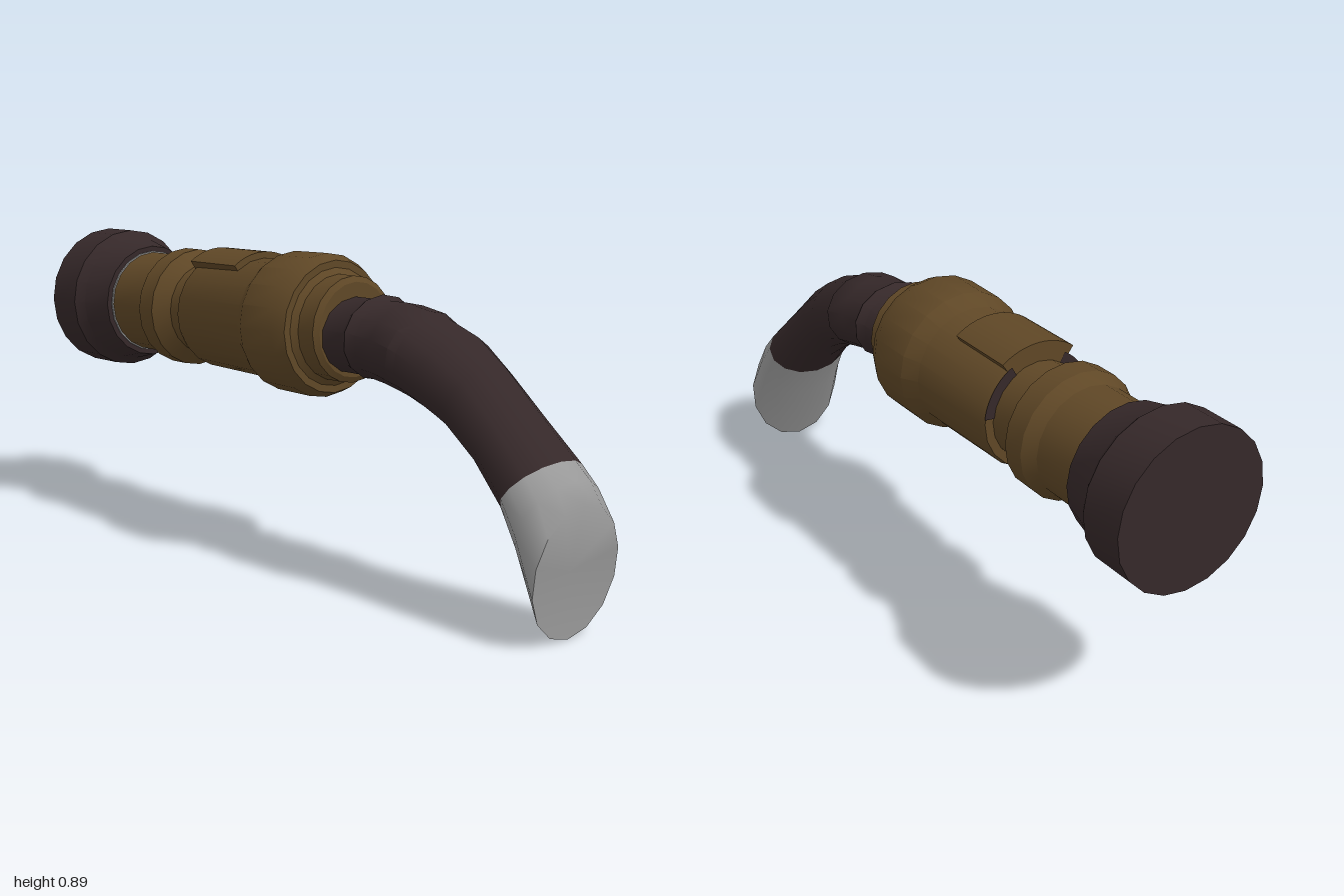
import * as THREE from 'three';
import { toCreasedNormals } from 'three/addons/utils/BufferGeometryUtils.js';

const AXIS_Y = 0.68;

const mat = (name, color) => {
  const m = new THREE.MeshStandardMaterial({ color });
  m.name = name;
  return m;
};

// Round part turned about the x axis; profile is [x, radius] pairs.
function turned(profile) {
  const g = new THREE.LatheGeometry(profile.map(([x, r]) => new THREE.Vector2(r, x)), 20);
  return toCreasedNormals(g.rotateZ(-Math.PI / 2), 0.55);
}

// Skin over elliptical sections [topX, topY, bottomX, bottomY, halfDepth].
function loft(sections, capDepth, crease) {
  const n = 14, pos = [], idx = [];
  for (const [tx, ty, bx, by, w] of sections) {
    for (let i = 0; i < n; i++) {
      const a = (i / n) * Math.PI * 2, c = Math.cos(a) / 2;
      pos.push((tx + bx) / 2 + (tx - bx) * c, (ty + by) / 2 + (ty - by) * c, Math.sin(a) * w);
    }
  }
  for (let s = 0; s < sections.length - 1; s++) {
    for (let i = 0; i < n; i++) {
      const a = s * n + i, b = s * n + (i + 1) % n;
      idx.push(a, b, a + n, b, b + n, a + n);
    }
  }
  if (capDepth !== null) {
    const last = sections.length - 1, [tx, ty, bx, by] = sections[last];
    pos.push((tx + bx) / 2 - capDepth, (ty + by) / 2, 0);
    for (let i = 0; i < n; i++) idx.push(sections.length * n, last * n + i, last * n + (i + 1) % n);
  }
  const g = new THREE.BufferGeometry();
  g.setAttribute('position', new THREE.Float32BufferAttribute(pos, 3));
  g.setIndex(idx);
  return toCreasedNormals(g, crease);
}

export function createModel() {
  const group = new THREE.Group();
  const dark = mat('darkBrown', 0x352829);
  const brown = mat('bronzeBrown', 0x5f4726);
  const silver = mat('silver', 0x999999);
  const add = (name, geometry, material, x = 0, y = 0) => {
    const m = new THREE.Mesh(geometry, material);
    m.name = name;
    m.position.set(x, y, 0);
    group.add(m);
    return m;
  };

  // Flared end cap
  add('endCap', turned([[-1, 0], [-1, 0.216], [-0.875, 0.216], [-0.85, 0.194],
    [-0.755, 0.172], [-0.755, 0.14]]), dark, 0, AXIS_Y);
  add('capRing', turned([[-0.757, 0.14], [-0.757, 0.157], [-0.749, 0.157], [-0.749, 0.14]]),
    silver, 0, AXIS_Y);

  // Stepped main grip
  add('grip', turned([[-0.757, 0.153], [-0.61, 0.153], [-0.575, 0.176], [-0.51, 0.176],
    [-0.47, 0.136], [-0.4, 0.136], [-0.4, 0.16], [-0.385, 0.166], [-0.1, 0.172],
    [-0.055, 0.198], [0.08, 0.2], [0.117, 0.183], [0.117, 0.163], [0.13, 0.146],
    [0.19, 0.146], [0.2, 0.13], [0.2, 0]]), brown, 0, AXIS_Y);

  // Dark arcs on the step of the grip
  for (const side of [0, Math.PI]) {
    const arc = new THREE.RingGeometry(0.13, 0.164, 12, 1, side === 0 ? 0.1 : 2.1, 0.95);
    add('stepArc', arc.rotateY(-Math.PI / 2), dark, -0.403, AXIS_Y);
  }

  // Raised plate on top of the grip
  const half = 0.62, up = Math.PI / 2;
  const sector = new THREE.Shape();
  sector.absarc(0, 0, 0.188, up - half, up + half, false);
  sector.absarc(0, 0, 0.15, up + half, up - half, true);
  sector.closePath();
  const plate = new THREE.ExtrudeGeometry(sector, { depth: 0.21, bevelEnabled: false, curveSegments: 8 });
  add('topPlate', toCreasedNormals(plate.rotateY(Math.PI / 2), 0.55), brown, -0.4, AXIS_Y);

  // Curved neck with a small collar
  const joint = [0.925, 0.437, 0.808, 0.3, 0.135];
  add('neck', loft([
    [0.18, 0.77, 0.18, 0.562, 0.123],
    [0.28, 0.77, 0.27, 0.562, 0.12],
    [0.305, 0.784, 0.295, 0.555, 0.135],
    [0.33, 0.77, 0.32, 0.557, 0.122],
    [0.4, 0.77, 0.375, 0.55, 0.128],
    [0.48, 0.755, 0.44, 0.537, 0.138],
    [0.5, 0.742, 0.46, 0.53, 0.128],
    [0.6, 0.704, 0.53, 0.508, 0.135],
    [0.7, 0.64, 0.61, 0.465, 0.116],
    [0.81, 0.542, 0.71, 0.395, 0.119],
    joint,
  ], null, 0.7), dark);

  // Spout tip with a slanted, slightly hollow end
  add('tip', loft([
    joint,
    [0.97, 0.397, 0.865, 0.2, 0.142],
    [1, 0.345, 0.96, 0.005, 0.155],
  ], 0.02, 1.1), silver);

  return group;
}
